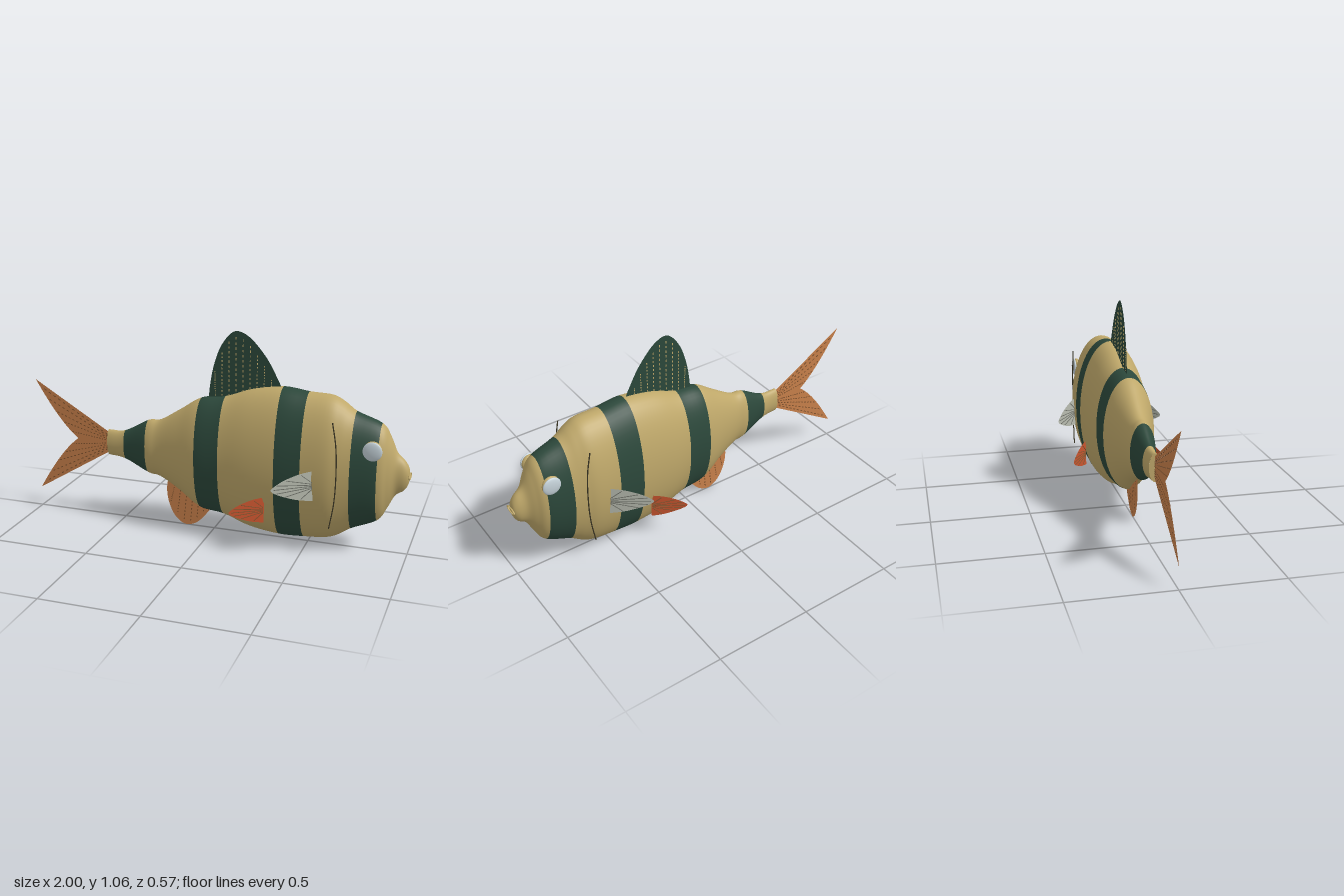
import * as THREE from 'three';

const mat = (name, color, side = THREE.FrontSide) => {
  const m = new THREE.MeshStandardMaterial({ color, side });
  m.name = name;
  return m;
};

export function createModel() {
  const model = new THREE.Group();
  const gold = mat('gold scales', 0xbfa86a);
  const green = mat('dark green', 0x2c483b, THREE.DoubleSide);
  const orange = mat('orange fin', 0xc9814b, THREE.DoubleSide);
  const red = mat('red fin', 0xc9552f, THREE.DoubleSide);
  const silver = mat('silver fin', 0xb8bcb0, THREE.DoubleSide);
  const pale = mat('pale eye', 0xc6d3da);
  const brown = mat('brown rays', 0x84552f);
  const grey = mat('grey rays', 0x6e7068);
  const dark = mat('dark line', 0x3d3826);

  const add = (parent, name, geo, material, x = 0, y = 0, z = 0) => {
    const m = new THREE.Mesh(geo, material);
    m.name = name;
    m.position.set(x, y, z);
    parent.add(m);
    return m;
  };

  // Body stations: x, top, bottom, half width, stripe starts here
  const stations = [
    [-0.585, 0.483, 0.345, 0.028, 0], [-0.49, 0.488, 0.332, 0.034, 1],
    [-0.36, 0.557, 0.272, 0.063, 0], [-0.29, 0.568, 0.258, 0.07, 0],
    [-0.18, 0.635, 0.195, 0.1, 0], [-0.068, 0.705, 0.118, 0.131, 1],
    [0.06, 0.725, 0.098, 0.14, 0], [0.2, 0.775, 0.05, 0.159, 0],
    [0.355, 0.8, 0.028, 0.168, 1], [0.485, 0.786, 0.032, 0.166, 0],
    [0.6, 0.78, 0.044, 0.165, 0], [0.66, 0.752, 0.068, 0.151, 0],
    [0.72, 0.71, 0.108, 0.138, 1], [0.845, 0.662, 0.166, 0.112, 0],
    [0.89, 0.6, 0.235, 0.08, 0], [0.925, 0.525, 0.305, 0.05, 0],
    [0.965, 0.485, 0.335, 0.038, 0], [0.985, 0.45, 0.37, 0.024, 0],
    [0.99, 0.412, 0.408, 0.002, 0],
  ];
  const heights = new THREE.CatmullRomCurve3(stations.map(s => new THREE.Vector3(s[0], s[1], s[2])), false, 'catmullrom', 0.5);
  const widths = new THREE.CatmullRomCurve3(stations.map(s => new THREE.Vector3(s[0], s[3], 0)), false, 'catmullrom', 0.5);
  const SUB = 5, SIDES = 56, rings = (stations.length - 1) * SUB;
  const pos = [], idx = [];
  const body = new THREE.BufferGeometry();
  for (let i = 0; i <= rings; i++) {
    const h = heights.getPoint(i / rings), w = widths.getPoint(i / rings).y;
    for (let j = 0; j < SIDES; j++) {
      const a = j / SIDES * Math.PI * 2;
      pos.push(h.x, (h.y + h.z) / 2 + Math.cos(a) * (h.y - h.z) / 2, Math.sin(a) * w);
    }
  }
  for (let i = 0; i < rings; i++) {
    if (i % SUB === 0) body.addGroup(idx.length, SUB * SIDES * 6, stations[i / SUB][4]);
    for (let j = 0; j < SIDES; j++) {
      const a = i * SIDES + j, c = i * SIDES + (j + 1) % SIDES;
      idx.push(a, c, a + SIDES, c, c + SIDES, a + SIDES);
    }
  }
  body.setAttribute('position', new THREE.Float32BufferAttribute(pos, 3));
  body.setIndex(idx);
  body.computeVertexNormals();
  add(model, 'body', body, [gold, green]);

  // Flat end of the tail stem
  const stem = add(model, 'tailStemCap', new THREE.CircleGeometry(1, 32), gold, -0.585, 0.414, 0);
  stem.scale.set(0.028, 0.069, 1);
  stem.rotation.y = -Math.PI / 2;

  // Fin outline: a spline through points, closed by a straight base
  const fin = (parent, name, pts, material) => {
    const s = new THREE.Shape();
    s.moveTo(...pts[0]);
    s.splineThru(pts.slice(1).map(p => new THREE.Vector2(...p)));
    s.closePath();
    return add(parent, name, new THREE.ShapeGeometry(s, 40), material);
  };
  // Fin ray: thin strip through the fin, optionally broken into dashes
  const ray = (parent, [x0, y0], [x1, y1], material, dashes = 1, width = 0.005) => {
    const len = Math.hypot(x1 - x0, y1 - y0);
    for (let k = 0; k < dashes; k++) {
      const t = (k + 0.5) / dashes;
      const piece = len / dashes * (dashes > 1 ? 0.45 : 1);
      const m = add(parent, 'finRay', new THREE.BoxGeometry(piece, width, 0.005), material,
        x0 + (x1 - x0) * t, y0 + (y1 - y0) * t, 0);
      m.rotation.z = Math.atan2(y1 - y0, x1 - x0);
    }
  };

  // Dorsal fin
  const dorsal = new THREE.Group();
  dorsal.name = 'dorsalFin';
  fin(dorsal, 'dorsalWeb', [[-0.03, 0.68], [-0.025, 0.76], [-0.005, 0.87], [0.03, 0.97], [0.08, 1.04],
    [0.125, 1.058], [0.19, 1.025], [0.265, 0.94], [0.315, 0.855], [0.345, 0.79], [0.35, 0.72]], green);
  const dorsalTips = [0.85, 0.95, 1.01, 1.035, 1.025, 0.995, 0.95, 0.9, 0.83];
  dorsalTips.forEach((y, k) => ray(dorsal, [0.005 + k * 0.036, 0.72], [0.002 + k * 0.0365, y], gold, 12, 0.004));
  model.add(dorsal);

  // Forked tail fin, upper and lower lobes
  const tail = new THREE.Group();
  tail.name = 'tailFin';
  const lobe = new THREE.Shape();
  lobe.moveTo(-0.57, 0);
  lobe.lineTo(-0.57, 0.045);
  lobe.lineTo(-1, 0.305);
  lobe.quadraticCurveTo(-0.87, 0.08, -0.765, 0);
  for (const s of [1, -1]) {
    const half = new THREE.Group();
    half.name = s > 0 ? 'upperLobe' : 'lowerLobe';
    add(half, 'tailWeb', new THREE.ShapeGeometry(lobe, 24), orange);
    [[-0.96, 0.262], [-0.93, 0.205], [-0.885, 0.138], [-0.845, 0.085], [-0.8, 0.035]]
      .forEach((tip, k) => ray(half, [-0.585, 0.035 - k * 0.007], tip, brown, 14));
    half.scale.y = s;
    tail.add(half);
  }
  tail.position.y = 0.414;
  model.add(tail);

  // Anal fin
  const anal = new THREE.Group();
  anal.name = 'analFin';
  fin(anal, 'analWeb', [[-0.25, 0.27], [-0.262, 0.19], [-0.25, 0.11], [-0.215, 0.04], [-0.16, 0.004],
    [-0.1, 0.02], [-0.05, 0.07], [-0.015, 0.12], [0, 0.17]], orange);
  [0.12, 0.06, 0.025, 0.02, 0.045, 0.085].forEach((y, k) =>
    ray(anal, [-0.215 + k * 0.034, 0.23], [-0.24 + k * 0.036, y], brown, 10));
  model.add(anal);

  // Paired fan fins: root position, length, half height, sweep angle
  const fan = (name, [x, y, z], L, h, sweep, web, rib) => {
    const g = new THREE.Group();
    g.name = name;
    fin(g, name + 'Web', [[0, h], [-L * 0.35, h * 0.86], [-L * 0.7, h * 0.55], [-L * 0.93, h * 0.2], [-L, 0],
      [-L * 0.93, -h * 0.22], [-L * 0.7, -h * 0.52], [-L * 0.35, -h * 0.84], [0, -h]], web);
    for (let k = -3; k <= 3; k++) {
      const v = k / 3.6;
      ray(g, [-0.005, h * v * 0.25], [-L * 0.93 * (1 - v * v), h * v * 0.95], rib, 1, 0.003);
    }
    g.position.set(x, y, z);
    g.rotation.y = sweep;
    return g;
  };

  // Parts on both flanks
  for (const s of [1, -1]) {
    const side = new THREE.Group();
    side.name = s > 0 ? 'frontFlank' : 'backFlank';
    side.add(fan('pectoralFin', [0.553, 0.365, 0.16], 0.215, 0.077, 0.61, silver, grey));
    side.add(fan('pelvicFin', [0.307, 0.203, 0.147], 0.18, 0.067, 0.56, red, brown));

    // Eye in its socket
    add(side, 'eyeSocket', new THREE.SphereGeometry(1, 32, 20), gold, 0.822, 0.553, 0.1).scale.set(0.045, 0.048, 0.02);
    add(side, 'eye', new THREE.SphereGeometry(1, 32, 20), pale, 0.822, 0.553, 0.113).scale.set(0.047, 0.047, 0.012);

    // Gill line
    const gill = new THREE.CatmullRomCurve3([[0.635, 0.69], [0.655, 0.57], [0.661, 0.42], [0.655, 0.28], [0.635, 0.15]]
      .map(p => new THREE.Vector3(p[0], p[1], 0.152)));
    add(side, 'gillLine', new THREE.TubeGeometry(gill, 40, 0.003, 6), dark);
    side.scale.z = s;
    model.add(side);
  }

  // Mouth
  const mouth = add(model, 'mouth', new THREE.TorusGeometry(0.035, 0.004, 8, 36), gold, 0.991, 0.411, 0);
  mouth.rotation.y = Math.PI / 2;
  mouth.scale.y = 0.38;

  return model;
}
